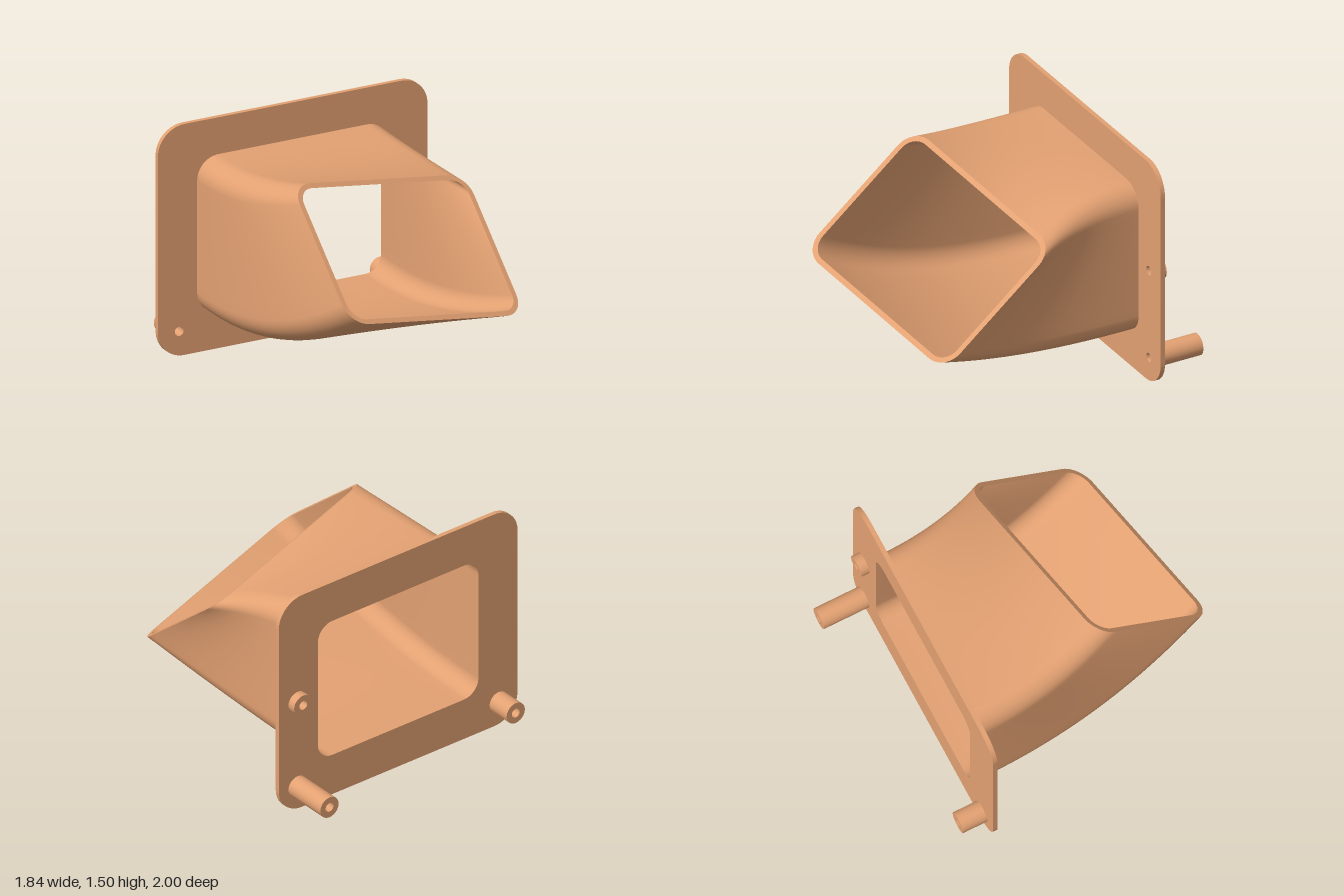
import * as THREE from 'three';

const material = new THREE.MeshStandardMaterial({ color: 0xe3a172 });
const PLATE_FRONT = -0.66, PLATE_BACK = -0.69, WALL = 0.034;
const BASE = { w: 1.305, h: 1.02, y: 0.755 };
const MOUTH = { w: 1.355, h: 1.0 };
const CORNER = 0.145;

// Counter-clockwise rounded rectangle, with points along the straights as well
function roundedRect(w, h, r, arc = 10, straight = 12) {
  const centres = [[1, 1], [-1, 1], [-1, -1], [1, -1]];
  const pts = [];
  centres.forEach(([sx, sy], c) => {
    for (let k = 0; k <= arc; k++) {
      const a = (c + k / arc) * Math.PI / 2;
      pts.push(new THREE.Vector2(
        sx * (w / 2 - r) + r * Math.cos(a), sy * (h / 2 - r) + r * Math.sin(a)));
    }
    const from = pts[pts.length - 1];
    const [nx, ny] = centres[(c + 1) % 4];
    const a = (c + 1) * Math.PI / 2;
    const to = new THREE.Vector2(
      nx * (w / 2 - r) + r * Math.cos(a), ny * (h / 2 - r) + r * Math.sin(a));
    for (let k = 1; k < straight; k++) pts.push(from.clone().lerp(to, k / straight));
  });
  return pts;
}

// Closed rings of points joined row by row
function skin(rows) {
  const n = rows[0].length, pos = [], index = [];
  rows.forEach(row => row.forEach(p => pos.push(p.x, p.y, p.z)));
  for (let s = 0; s < rows.length - 1; s++) {
    for (let i = 0; i < n; i++) {
      const j = (i + 1) % n;
      const a = s * n + i, b = s * n + j, c = a + n, d = b + n;
      index.push(a, b, d, a, d, c);
    }
  }
  const g = new THREE.BufferGeometry();
  g.setAttribute('position', new THREE.Float32BufferAttribute(pos, 3));
  g.setIndex(index);
  g.computeVertexNormals();
  return g;
}

// Cross-sections from the upright plate opening to the tilted mouth
function ductRows(inset, steps = 28) {
  const r = CORNER - inset;
  const start = roundedRect(BASE.w - 2 * inset, BASE.h - 2 * inset, r)
    .map(p => new THREE.Vector3(p.x, p.y + BASE.y, PLATE_FRONT));
  const u = new THREE.Vector3(1.31, -0.265, -0.228).normalize();
  const v = new THREE.Vector3(0, 0.64, -0.768).normalize();
  const end = roundedRect(MOUTH.w - 2 * inset, MOUTH.h - 2 * inset, r)
    .map(p => new THREE.Vector3(0.165, 0.939, 0.519)
      .addScaledVector(u, p.x).addScaledVector(v, p.y));
  const rows = [];
  for (let s = 0; s <= steps; s++) {
    const t = s / steps, e = Math.pow(t, 2.2);
    rows.push(start.map((p, i) => new THREE.Vector3(
      THREE.MathUtils.lerp(p.x, end[i].x, e),
      THREE.MathUtils.lerp(p.y, end[i].y, e),
      THREE.MathUtils.lerp(p.z, end[i].z, t))));
  }
  return rows;
}

function circlePath(x, y, r) {
  return new THREE.Path().absarc(x, y, r, 0, Math.PI * 2, true);
}

function add(parent, name, geometry) {
  const mesh = new THREE.Mesh(geometry, material);
  mesh.name = name;
  parent.add(mesh);
  return mesh;
}

export function createModel() {
  const model = new THREE.Group();
  model.name = 'angledDuct';

  // Hollow pegs: position and rear end
  const pegs = [
    { name: 'longPeg', x: 0.775, y: 0.16, back: -1.0 },
    { name: 'mediumPeg', x: -0.775, y: 0.16, back: -0.855 },
    { name: 'shortPeg', x: 0.775, y: 0.76, back: -0.745 },
  ];

  // Mounting plate with duct opening and screw holes
  const plateShape = new THREE.Shape(
    roundedRect(1.84, 1.505, 0.18, 14, 1).map(p => p.setY(p.y + 0.7525)));
  const opening = roundedRect(BASE.w - 2 * WALL, BASE.h - 2 * WALL, CORNER - WALL, 10, 1)
    .map(p => p.setY(p.y + BASE.y));
  plateShape.holes.push(new THREE.Path(opening.reverse()));
  pegs.forEach(p => plateShape.holes.push(circlePath(p.x, p.y, 0.03)));
  const plate = new THREE.ExtrudeGeometry(plateShape,
    { depth: PLATE_FRONT - PLATE_BACK, bevelEnabled: false, curveSegments: 16 });
  add(model, 'mountingPlate', plate).position.z = PLATE_BACK;

  // Pegs behind the plate
  for (const p of pegs) {
    const ring = new THREE.Shape().absarc(0, 0, 0.07, 0, Math.PI * 2, false);
    ring.holes.push(circlePath(0, 0, 0.03));
    const g = new THREE.ExtrudeGeometry(ring,
      { depth: PLATE_BACK - p.back, bevelEnabled: false, curveSegments: 24 });
    add(model, p.name, g).position.set(p.x, p.y, p.back);
  }

  // Duct: outer wall, inner wall and the flat rim joining them
  const duct = new THREE.Group();
  duct.name = 'duct';
  const outer = ductRows(0), inner = ductRows(WALL);
  add(duct, 'ductOuterWall', skin(outer));
  add(duct, 'mouthRim', skin([outer[outer.length - 1], inner[inner.length - 1]]));
  add(duct, 'ductInnerWall', skin(inner.reverse()));
  model.add(duct);

  return model;
}
